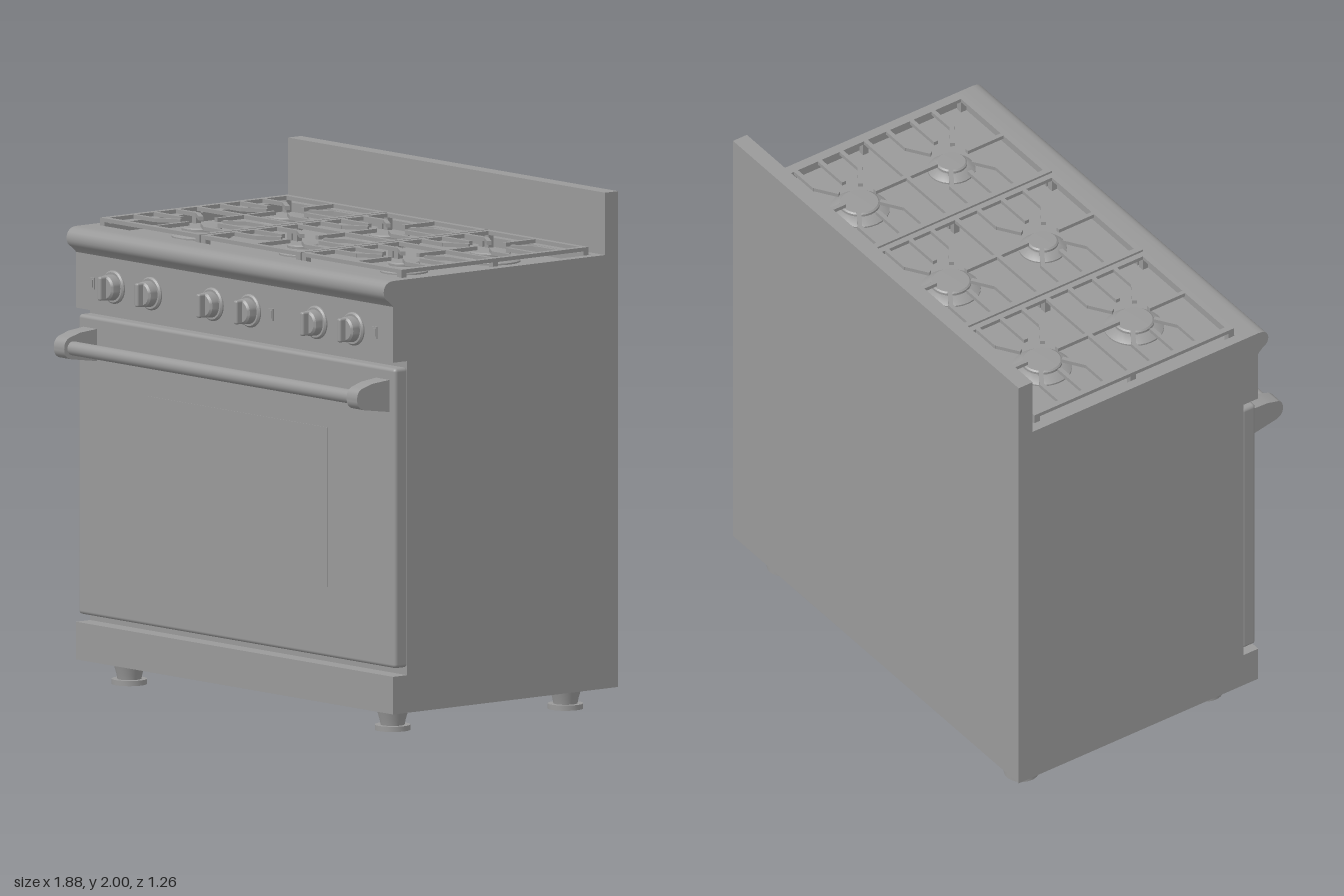
import * as THREE from 'three';
import { mergeGeometries, toCreasedNormals } from 'three/addons/utils/BufferGeometryUtils.js';
import { RoundedBoxGeometry } from 'three/addons/geometries/RoundedBoxGeometry.js';

export function createModel() {
  const steel = new THREE.MeshStandardMaterial({ color: 0x999999 });
  steel.name = 'steel grey';
  const root = new THREE.Group();
  root.name = 'range';

  const add = (name, geo, x = 0, y = 0, z = 0, parent = root) => {
    const mesh = new THREE.Mesh(geo, steel);
    mesh.name = name;
    mesh.position.set(x, y, z);
    parent.add(mesh);
    return mesh;
  };
  const box = (w, h, d) => new THREE.BoxGeometry(w, h, d);
  const smooth = (geo) => toCreasedNormals(geo, 0.6);

  // Side profile of [z, y] points swept across x, centred on x = 0
  const sweepX = (shape, width) => {
    const geo = new THREE.ExtrudeGeometry(shape, { depth: width, bevelEnabled: false, curveSegments: 8 });
    geo.rotateY(-Math.PI / 2).translate(width / 2, 0, 0);
    return smooth(geo);
  };
  const poly = (pts) => new THREE.Shape(pts.map(([z, y]) => new THREE.Vector2(z, y)));
  const lathe = (pts, seg = 32) =>
    smooth(new THREE.LatheGeometry(pts.map(([r, y]) => new THREE.Vector2(r, y)), seg));

  // Cabinet with kick panel, door recess and control panel
  const W = 1.88, FLOOR = 1.725, TOP = 1.76;
  add('cabinet', sweepX(poly([
    [-0.63, 0.09], [0.49, 0.09], [0.49, 0.235], [0.42, 0.235], [0.42, 1.445],
    [0.49, 1.445], [0.49, 1.66], [0.41, 1.66], [0.41, FLOOR], [-0.63, FLOOR],
  ]), W));

  // Rolled front edge of the cooktop
  const nose = new THREE.Shape();
  nose.moveTo(0.41, 1.66);
  nose.lineTo(0.49, 1.66);
  nose.quadraticCurveTo(0.50, 1.675, 0.525, 1.69);
  nose.bezierCurveTo(0.545, 1.705, 0.545, 1.76, 0.49, TOP);
  nose.lineTo(0.41, TOP);
  add('frontNose', sweepX(nose, W));

  // Cooktop rim and backsplash
  add('backsplash', sweepX(poly([
    [-0.63, FLOOR], [-0.53, FLOOR], [-0.53, TOP], [-0.565, TOP], [-0.565, 2], [-0.63, 2],
  ]), W));
  for (const s of [-1, 1]) add('sideRim', box(0.04, TOP - FLOOR, 0.94), s * 0.92, (TOP + FLOOR) / 2, -0.06);

  // Oven door and window
  add('door', new RoundedBoxGeometry(W, 1.155, 0.065, 3, 0.014), 0, 0.8425, 0.4475);
  add('doorWindow', box(1.075, 0.615, 0.006), 0, 0.8425, 0.479);

  // Door handle
  const rail = new THREE.CylinderGeometry(0.027, 0.027, 1.7, 24);
  rail.rotateZ(Math.PI / 2);
  add('handleBar', rail, 0, 1.31, 0.593);
  const end = new THREE.Shape();
  end.moveTo(0.475, 1.25);
  end.lineTo(0.60, 1.268);
  end.quadraticCurveTo(0.635, 1.275, 0.635, 1.31);
  end.quadraticCurveTo(0.635, 1.348, 0.60, 1.355);
  end.lineTo(0.56, 1.367);
  end.lineTo(0.475, 1.375);
  for (const s of [-1, 1]) {
    const geo = sweepX(end, 0.08);
    const p = geo.attributes.position;
    for (let i = 0; i < p.count; i++) p.setX(i, p.getX(i) * (1 - 1.4 * (p.getZ(i) - 0.475)));
    add('handleEnd', toCreasedNormals(geo, 0.6), s * 0.868, 0, 0);
  }

  // Control knobs with a raised grip
  const bezelGeo = lathe([[0, 0], [0.064, 0], [0.064, 0.008], [0.058, 0.014], [0.05, 0.014], [0.05, 0.02],
    [0.048, 0.045], [0.04, 0.052], [0, 0.052]]).rotateX(Math.PI / 2);
  const gripGeo = new RoundedBoxGeometry(0.022, 0.092, 0.04, 2, 0.008);
  for (const x of [-0.713, -0.493, -0.128, 0.094, 0.487, 0.707]) {
    const knob = new THREE.Group();
    knob.name = 'knob';
    knob.position.set(x, 1.55, 0.488);
    add('knobBody', bezelGeo, 0, 0, 0, knob);
    add('knobGrip', gripGeo, 0, 0, 0.06, knob);
    root.add(knob);
  }
  for (const x of [-0.84, 0.22, 0.835]) {
    add('indicatorFrame', box(0.026, 0.046, 0.008), x, 1.55, 0.492);
    add('indicatorLight', box(0.014, 0.03, 0.008), x, 1.55, 0.495);
  }

  // Burners: sloped base ring with a flat cap
  const burner = (cap, ring) => lathe([[ring, 0], [ring, 0.006], [cap + 0.006, 0.026], [cap, 0.027],
    [cap, 0.036], [cap - 0.006, 0.041], [0, 0.043]]);
  const large = burner(0.078, 0.115), small = burner(0.06, 0.092);
  const CENTRES = [-0.6, 0, 0.6], ROWS = [-0.28, 0.15];
  for (const x of CENTRES) {
    add('burner', large, x, FLOOR, ROWS[0]);
    add('burner', x < 0 ? large : small, x, FLOOR, ROWS[1]);
  }

  // Grates: frame, cross bars and fingers reaching for each burner
  const H = 0.015, Y = 1.7825;
  const bar = (x1, z1, x2, z2, w = 0.018) => {
    const geo = box(Math.hypot(x2 - x1, z2 - z1), H, w);
    geo.rotateY(-Math.atan2(z2 - z1, x2 - x1));
    return geo.translate((x1 + x2) / 2, Y, (z1 + z2) / 2);
  };
  const parts = [];
  const zB = -0.51, zF = 0.397, zM = -0.06, hx = 0.282;
  for (const z of [zB, zF]) parts.push(bar(-hx - 0.0125, z, hx + 0.0125, z, 0.025));
  parts.push(bar(-hx, zM, hx, zM));
  for (const s of [-1, 1]) {
    parts.push(bar(s * hx, zB, s * hx, zF, 0.025));
    for (const z of [zB, zM, zF]) parts.push(box(0.025, 0.06, 0.025).translate(s * hx, 1.755, z));
    for (const c of ROWS) {
      parts.push(bar(s * hx, c + 0.005, s * 0.11, c + 0.005));
      for (const t of [-1, 1]) {
        const z = c + t * 0.106;
        parts.push(bar(s * hx, z, s * 0.145, z));
        parts.push(bar(s * 0.15, z, s * 0.065, c + t * 0.05));
      }
    }
  }
  parts.push(bar(0, zB, 0, ROWS[0] - 0.07));
  parts.push(bar(0, ROWS[0] + 0.07, 0, ROWS[1] - 0.07));
  parts.push(bar(0, ROWS[1] + 0.07, 0, zF));
  const grateGeo = mergeGeometries(parts);
  for (const x of CENTRES) add('grate', grateGeo, x * 0.997, 0, 0);

  // Tapered feet on round pads
  const footGeo = lathe([[0, 0], [0.068, 0], [0.068, 0.02], [0.046, 0.02], [0.05, 0.04], [0.065, 0.092]]);
  for (const x of [-0.79, 0.77]) for (const z of [0.35, -0.51]) add('foot', footGeo, x, 0, z);

  return root;
}
